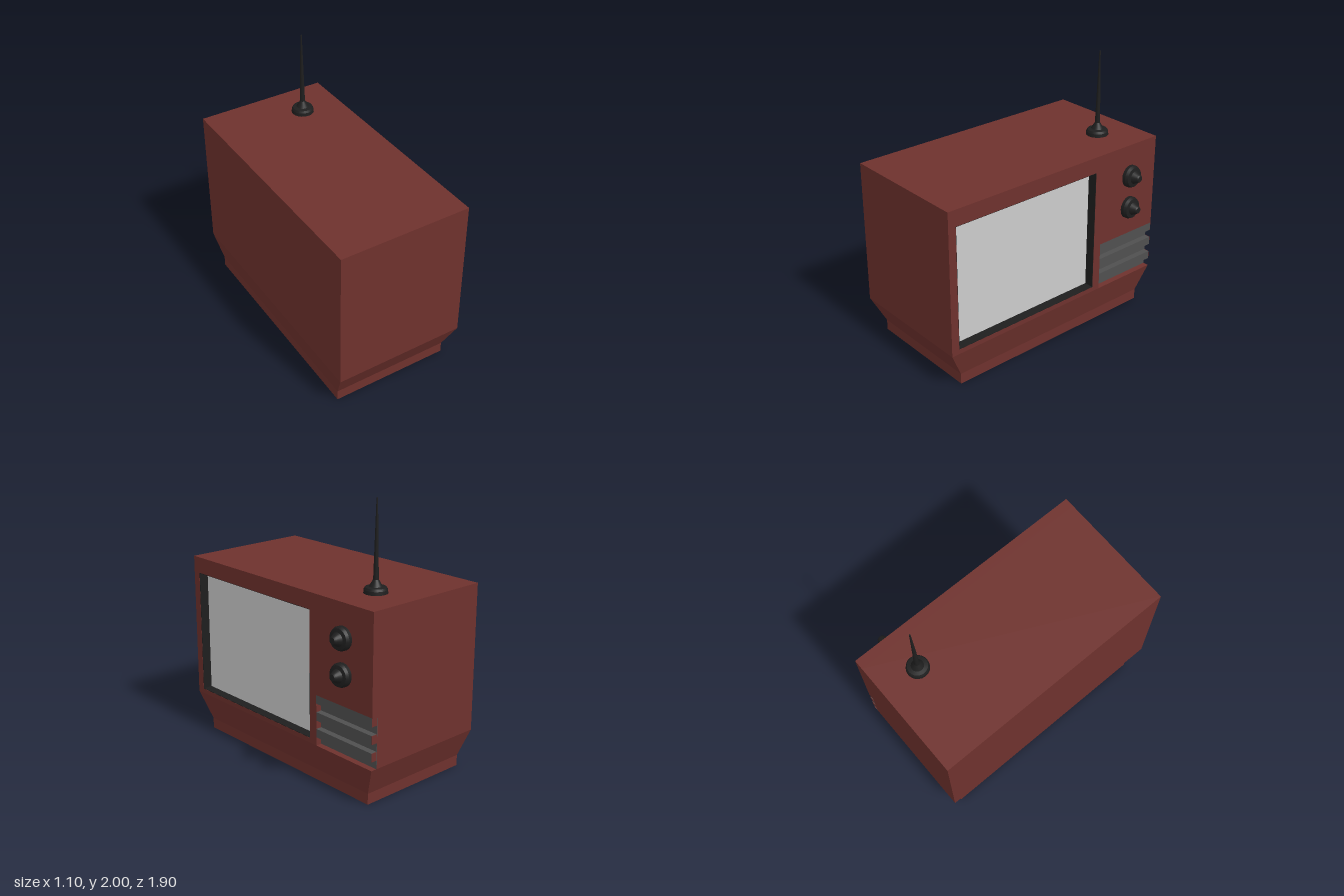
import * as THREE from 'three';

const mat = (color, side = THREE.FrontSide) => new THREE.MeshStandardMaterial({ color, side });
const red = mat(0x6e312d), black = mat(0x1e1e1e), grey = mat(0x4f4f4f), glass = mat(0xcccccc);

export function createModel() {
  const tv = new THREE.Group();
  tv.name = 'television';

  const add = (name, geometry, material, parent = tv) => {
    const mesh = new THREE.Mesh(geometry, material);
    mesh.name = name;
    parent.add(mesh);
    return mesh;
  };
  // Box given by its limits on each axis
  const span = (name, material, [x0, x1], [y0, y1], [z0, z1]) => {
    const g = new THREE.BoxGeometry(x1 - x0, y1 - y0, z1 - z0);
    g.translate((x0 + x1) / 2, (y0 + y1) / 2, (z0 + z1) / 2);
    return add(name, g, material);
  };
  const rect = (P, x0, y0, x1, y1) => {
    const p = new P();
    p.moveTo(x0, y0); p.lineTo(x1, y0); p.lineTo(x1, y1); p.lineTo(x0, y1);
    p.closePath();
    return p;
  };
  // Extrude a shape drawn in (-z, y) so that it runs along +x from x0
  const extrudeX = (shape, x0, depth) => {
    const g = new THREE.ExtrudeGeometry(shape, { depth, bevelEnabled: false });
    g.rotateY(Math.PI / 2);
    g.translate(x0, 0, 0);
    return g;
  };

  const front = 0.44, recess = 0.075, inner = front - recess;
  const low = 0.29, top = 1.37, half = 0.95;

  // Cabinet behind the front panel
  span('cabinet', red, [-0.55, inner], [low, top], [-half, half]);

  // Front panel with the screen opening and the notch for the grille
  const panel = new THREE.Shape();
  [[-half, low], [0.415, low], [0.415, 0.66], [half, 0.66], [half, top], [-half, top]]
    .forEach(([s, y], i) => (i ? panel.lineTo(s, y) : panel.moveTo(s, y)));
  panel.closePath();
  panel.holes.push(rect(THREE.Path, -0.89, 0.325, 0.35, 1.25));
  add('frontPanel', extrudeX(panel, inner, recess), red);

  // Dark lining of the screen recess and the screen itself
  const lining = rect(THREE.Shape, -0.89, 0.325, 0.35, 1.25);
  lining.holes.push(rect(THREE.Path, -0.887, 0.328, 0.347, 1.247));
  add('screenLining', extrudeX(lining, inner, recess - 0.001), black);
  span('screen', glass, [inner - 0.01, inner + 0.003], [0.328, 1.247], [-0.347, 0.887]);

  // Grille: shallow grooves between three flush slats, open at the side
  const row = (0.66 - low) / 6, groove = front - 0.045;
  span('grilleCore', red, [inner, groove - 0.003], [low, 0.66], [-half, -0.415]);
  span('grilleBack', grey, [groove - 0.003, groove], [low, 0.66], [-half, -0.415]);
  for (let i = 0; i < 3; i++) {
    const y = [0.66 - (2 * i + 1) * row, 0.66 - 2 * i * row];
    span('grilleSlat', grey, [groove, front], y, [-half + 0.003, -0.415]);
    span('grilleSlatEnd', red, [groove, front], y, [-half, -half + 0.003]);
  }

  // Tapered skirt: a box whose lower corners are drawn in to the plinth
  const skirt = new THREE.BoxGeometry(2, 2, 2);
  const p = skirt.attributes.position;
  for (let i = 0; i < p.count; i++) {
    const up = p.getY(i) > 0;
    const x = p.getX(i) > 0 ? (up ? front : 0.39) : (up ? -0.55 : -0.505);
    const z = p.getZ(i) > 0 ? (up ? half : 0.845) : (up ? -half : -0.87);
    p.setXYZ(i, x, up ? low : 0.08, z);
  }
  const skirtFlat = skirt.toNonIndexed();
  skirtFlat.computeVertexNormals();
  add('skirt', skirtFlat, red);
  span('plinth', red, [-0.505, 0.39], [0, 0.08], [-0.87, 0.845]);

  // Turned parts: each pair of profile points makes one crisp band
  const turned = (name, profile, parent) => {
    for (let i = 0; i < profile.length - 1; i++) {
      const pts = [profile[i], profile[i + 1]].map(([r, y]) => new THREE.Vector2(r, y));
      add(name, new THREE.LatheGeometry(pts, 20), black, parent);
    }
  };

  // Two control knobs, leaning slightly off the panel
  const axis = new THREE.Vector3(1, 0.04, -0.07).normalize();
  for (const y of [1.135, 0.885]) {
    const knob = new THREE.Group();
    knob.name = 'knob';
    knob.position.set(0.45, y, -0.68);
    knob.quaternion.setFromUnitVectors(new THREE.Vector3(0, 1, 0), axis);
    turned('knobBody', [[0, 0], [0.083, 0], [0.083, 0.025], [0.073, 0.045],
      [0.048, 0.05], [0.028, 0.09], [0.022, 0.098], [0, 0.098]], knob);
    tv.add(knob);
  }

  // Aerial on the top
  const aerial = new THREE.Group();
  aerial.name = 'aerial';
  aerial.position.set(0.13, top, -0.655);
  turned('aerialBody', [[0, 0], [0.083, 0], [0.08, 0.025], [0.072, 0.04],
    [0.045, 0.045], [0.019, 0.09], [0.005, 0.63], [0, 0.63]], aerial);
  tv.add(aerial);

  return tv;
}
